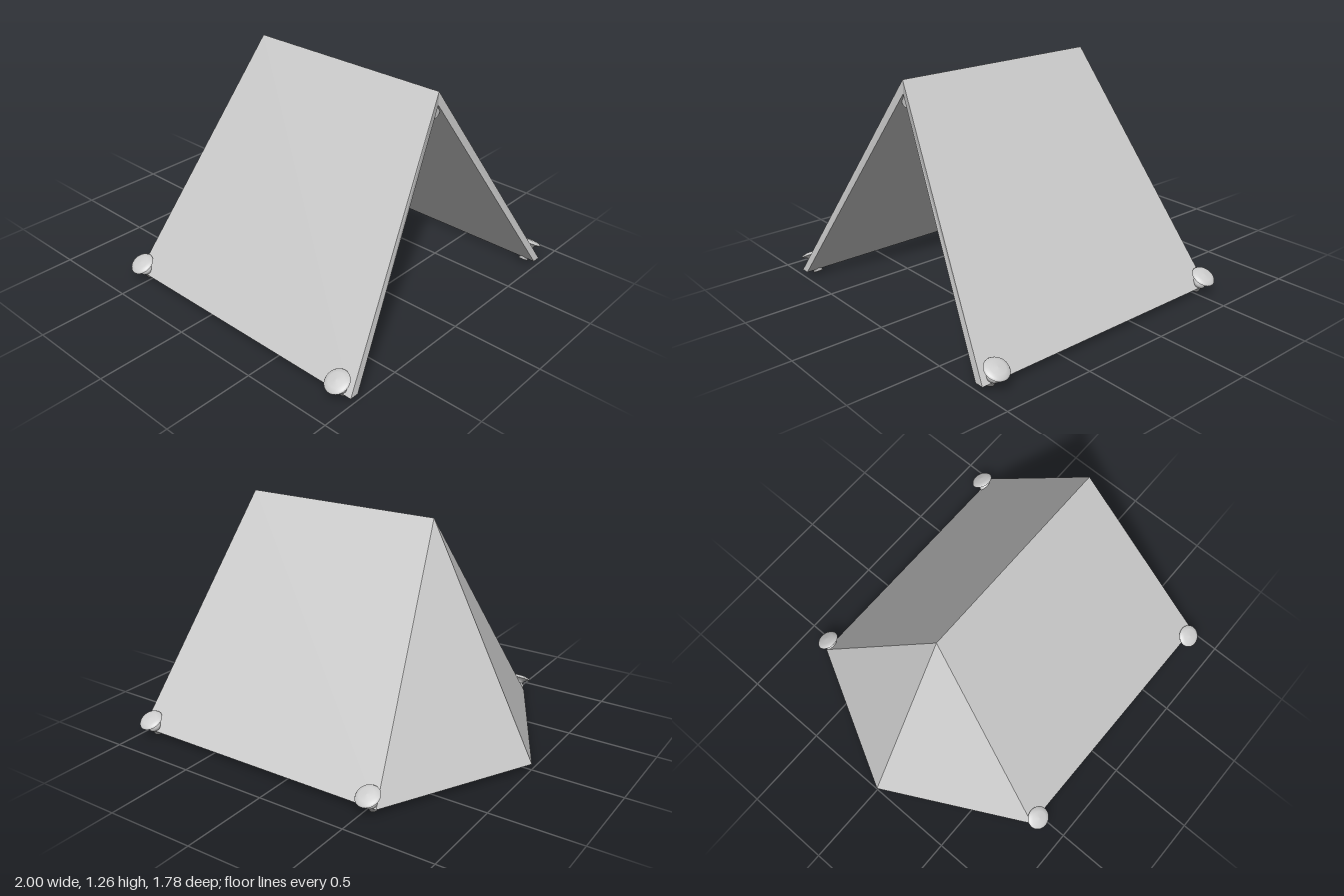
import * as THREE from 'three';

const material = new THREE.MeshStandardMaterial({ color: 0xcccccc, side: THREE.DoubleSide });

// Key points of one canvas skin: ridge ends, tail, rear and front base corners
const skin = (ridgeY, ridgeBack, tail, rearX, z, base) => ({
  ridgeBack: [ridgeBack, ridgeY, 0],
  ridgeFront: [0.805, ridgeY, 0],
  tail: [tail, base, 0],
  rearL: [rearX, base, z], rearR: [rearX, base, -z],
  frontL: [0.995, base, z], frontR: [0.995, base, -z],
});

function canvasGeometry() {
  const o = skin(1.26, -0.38, -1, -0.57, 0.82, 0.033);
  const i = skin(1.19, -0.36, -0.94, -0.545, 0.77, 0.033);
  const pos = [];
  const face = (...p) => {
    for (let k = 1; k < p.length - 1; k++) pos.push(...p[0], ...p[k], ...p[k + 1]);
  };
  // Roof and tail panels, outside and inside
  const panels = [
    ['frontL', 'ridgeFront', 'ridgeBack', 'rearL'],
    ['rearR', 'ridgeBack', 'ridgeFront', 'frontR'],
    ['rearL', 'ridgeBack', 'tail'],
    ['tail', 'ridgeBack', 'rearR'],
  ];
  for (const names of panels) {
    face(...names.map((n) => o[n]));
    face(...names.map((n) => i[n]).reverse());
  }
  // Hem joining both skins around the opening and the base
  const rim = ['frontL', 'rearL', 'tail', 'rearR', 'frontR', 'ridgeFront'];
  rim.forEach((a, k) => {
    const b = rim[(k + 1) % rim.length];
    face(o[a], o[b], i[b], i[a]);
  });
  const g = new THREE.BufferGeometry();
  g.setAttribute('position', new THREE.Float32BufferAttribute(pos, 3));
  // Outward winding for the whole shell
  for (let t = 0; t < pos.length; t += 9) {
    for (let c = 0; c < 3; c++) {
      [g.attributes.position.array[t + 3 + c], g.attributes.position.array[t + 6 + c]] =
        [pos[t + 6 + c], pos[t + 3 + c]];
    }
  }
  g.computeVertexNormals();
  return g;
}

function rod(name, radius, length) {
  const mesh = new THREE.Mesh(new THREE.CylinderGeometry(radius, radius, length, 32), material);
  mesh.name = name;
  return mesh;
}

// Peg: stem, collar, then a flared, slightly domed head
function pegGeometry() {
  const stem = [[0, 0], [0.026, 0], [0.026, 0.038], [0.037, 0.045], [0.037, 0.062], [0.028, 0.075]];
  const head = [[0.028, 0.075], [0.035, 0.09], [0.066, 0.102]];
  const dome = [[0.066, 0.102], [0.06, 0.111], [0.04, 0.118], [0, 0.121]];
  return [stem, head, dome].map((p) =>
    new THREE.LatheGeometry(p.map(([x, y]) => new THREE.Vector2(x, y)), 32));
}

export function createModel() {
  const tent = new THREE.Group();
  tent.name = 'tent';

  const canvas = new THREE.Mesh(canvasGeometry(), material);
  canvas.name = 'canvas';
  tent.add(canvas);

  // Upright pole and ridge pole
  const upright = rod('uprightPole', 0.031, 1.15);
  upright.position.set(0.23, 0.575, 0);
  const ridge = rod('ridgePole', 0.031, 1.14);
  ridge.rotation.z = Math.PI / 2;
  ridge.position.set(0.225, 1.151, 0);
  tent.add(upright, ridge);

  // Four pegs leaning outward at the corners
  const parts = pegGeometry();
  for (const x of [-0.53, 0.92]) {
    for (const side of [1, -1]) {
      const peg = new THREE.Group();
      peg.name = `${x > 0 ? 'front' : 'rear'}Peg${side > 0 ? 'A' : 'B'}`;
      for (const g of parts) peg.add(new THREE.Mesh(g, material));
      peg.children.forEach((m, k) => { m.name = ['pegStem', 'pegFlare', 'pegCap'][k]; });
      peg.position.set(x, 0.013, side * 0.78);
      peg.rotation.x = side * THREE.MathUtils.degToRad(30);
      tent.add(peg);
    }
  }
  return tent;
}
